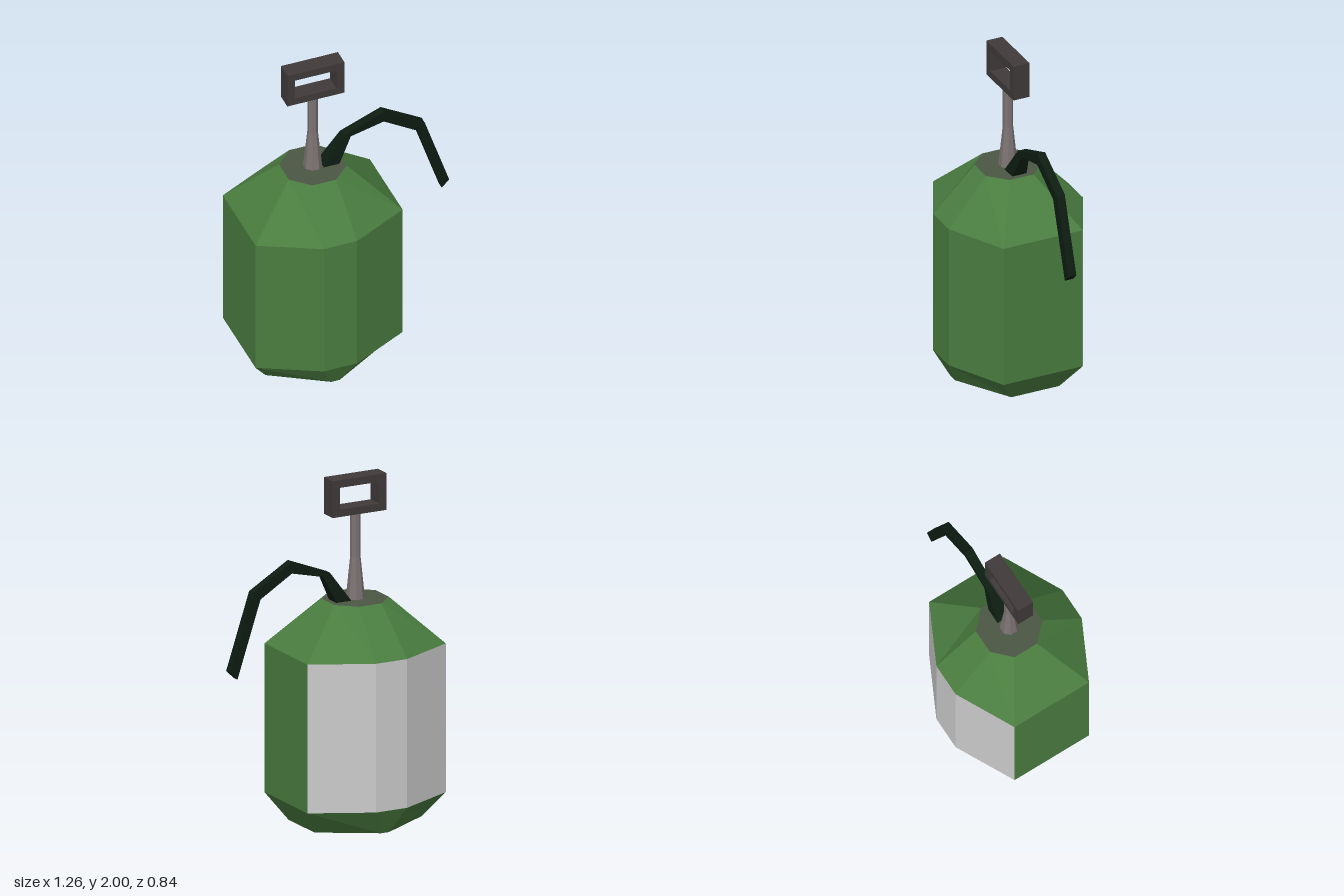
import * as THREE from 'three';

const paint = (color) => new THREE.MeshStandardMaterial({ color, flatShading: true });

// Flat-sided skin through rings of [x, y, z] points; sides picks the facets to build
function loft(rings, { sides, capStart = false, capEnd = false } = {}) {
  const n = rings[0].length;
  const pos = [];
  const tri = (a, b, c) => pos.push(...a, ...b, ...c);
  for (let r = 0; r < rings.length - 1; r++) {
    const lo = rings[r], hi = rings[r + 1];
    for (let i = 0; i < n; i++) {
      if (sides && !sides.includes(i)) continue;
      const j = (i + 1) % n;
      tri(lo[i], lo[j], hi[i]);
      tri(lo[j], hi[j], hi[i]);
    }
  }
  const first = rings[0], last = rings[rings.length - 1];
  for (let i = 1; i < n - 1; i++) {
    if (capStart) tri(first[0], first[i + 1], first[i]);
    if (capEnd) tri(last[0], last[i], last[i + 1]);
  }
  const g = new THREE.BufferGeometry();
  g.setAttribute('position', new THREE.Float32BufferAttribute(pos, 3));
  g.computeVertexNormals();
  return g;
}

// Stretched octagon: half width and depth, plus half length of its side and front edges
function octagon(y, halfX, halfZ, frontHalf, sideHalf) {
  const cx = -0.187;
  const front = [[-halfX, sideHalf], [-frontHalf, halfZ], [frontHalf, halfZ], [halfX, sideHalf]];
  const back = front.map(([x, z]) => [-x, -z]);
  return [...front, ...back].map(([x, z]) => [cx + x, y, z]);
}

export function createModel() {
  const model = new THREE.Group();
  const add = (name, geometry, material) => {
    const mesh = new THREE.Mesh(geometry, material);
    mesh.name = name;
    model.add(mesh);
    return mesh;
  };
  const green = paint(0x4a7d40);
  const grey = paint(0xcccccc);
  const capGreen = paint(0x4c5744);
  const dark = paint(0x403a3a);
  const steel = paint(0x7d7373);
  const black = paint(0x0d1c11);

  // Body: tapered foot, straight wall with a grey back, sloped shoulder
  const foot = octagon(0, 0.345, 0.345, 0.025, 0.15);
  const wallLow = octagon(0.15, 0.444, 0.42, 0.1, 0.248);
  const wallHigh = octagon(1.018, 0.444, 0.42, 0.1, 0.248);
  const neck = octagon(1.285, 0.174, 0.174, 0.073, 0.075);
  add('foot', loft([foot, wallLow], { capStart: true }), green);
  add('wall', loft([wallLow, wallHigh], { sides: [0, 1, 2, 3, 7] }), green);
  add('backPanel', loft([wallLow, wallHigh], { sides: [4, 5, 6] }), grey);
  add('shoulder', loft([wallHigh, neck]), green);
  add('topCap', loft([neck], { capEnd: true }), capGreen);

  // Stem: flared base running into a slim rod
  const stemProfile = [[0.05, 1.285], [0.027, 1.53], [0.027, 1.79]];
  const stemRings = stemProfile.map(([r, y]) =>
    Array.from({ length: 8 }, (_, i) => {
      const a = ((i + 0.5) / 8) * Math.PI * 2;
      const k = r / Math.cos(Math.PI / 8);
      return [-0.188 + k * Math.cos(a), y, -k * Math.sin(a)];
    }));
  add('stem', loft(stemRings), steel);

  // Handle: rectangular frame
  const rect = (P, x0, y0, x1, y1) => {
    const p = new P();
    p.moveTo(x0, y0);
    p.lineTo(x1, y0);
    p.lineTo(x1, y1);
    p.lineTo(x0, y1);
    p.closePath();
    return p;
  };
  const frame = rect(THREE.Shape, -0.36, 1.785, -0.015, 2);
  frame.holes.push(rect(THREE.Path, -0.313, 1.828, -0.063, 1.955));
  const frameGeometry = new THREE.ExtrudeGeometry(frame, { depth: 0.1, bevelEnabled: false });
  frameGeometry.translate(0, 0, -0.05);
  add('handle', frameGeometry, dark);

  // Lever: bent bar, each station is outer x, y, inner x, y, half depth
  const leverStations = [
    [-0.138, 1.285, -0.043, 1.285, 0.045],
    [-0.012, 1.46, 0.033, 1.442, 0.025],
    [0.232, 1.557, 0.232, 1.49, 0.025],
    [0.48, 1.41, 0.434, 1.367, 0.025],
    [0.627, 0.965, 0.582, 0.92, 0.025],
  ];
  const leverRings = leverStations.map(([ox, oy, ix, iy, h]) =>
    [[ox, oy, h], [ix, iy, h], [ix, iy, -h], [ox, oy, -h]]);
  add('lever', loft(leverRings, { capStart: true, capEnd: true }), black);

  return model;
}
